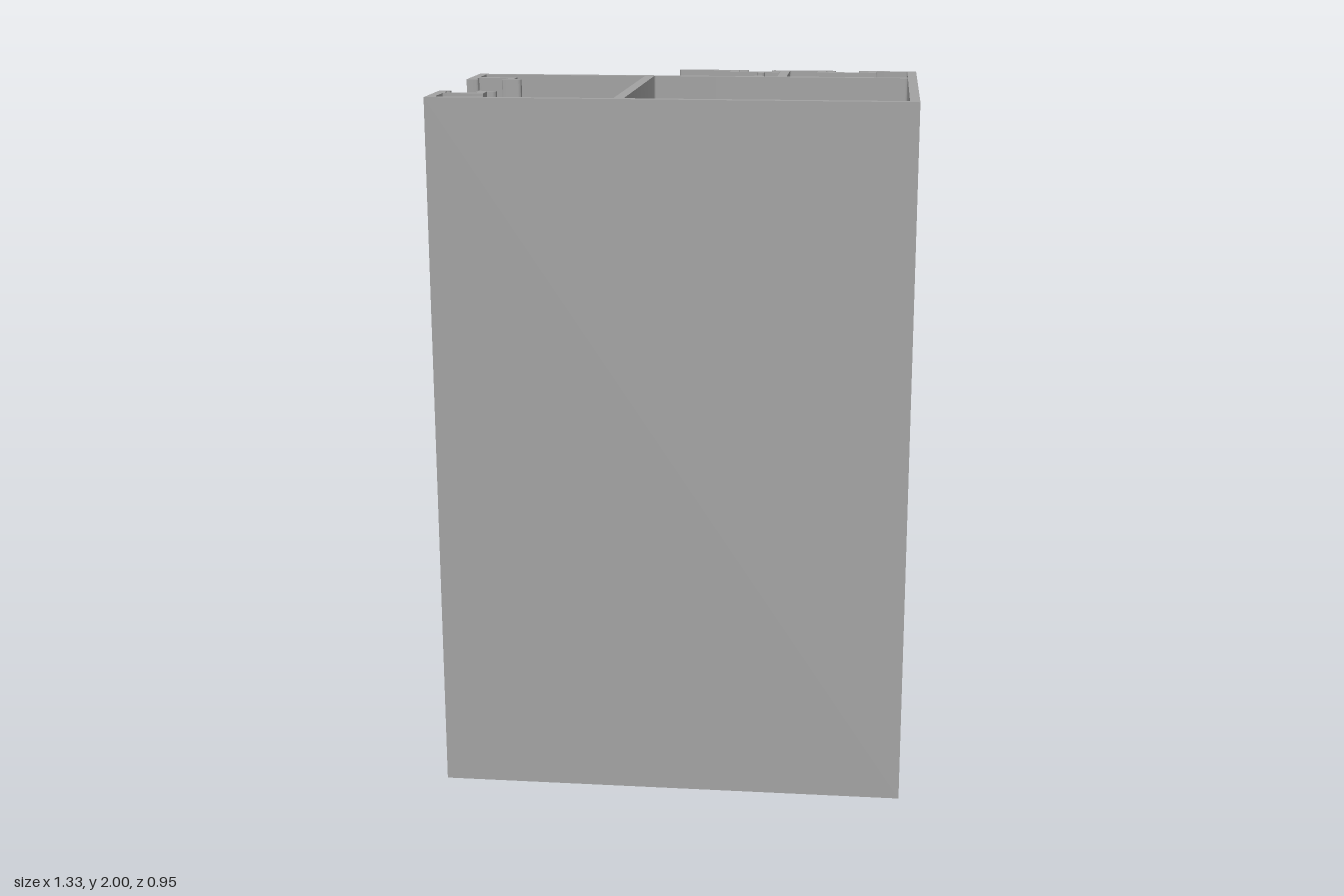
import * as THREE from 'three';
import { toCreasedNormals } from 'three/addons/utils/BufferGeometryUtils.js';

const HEIGHT = 2;

// Trace a closed polygon of [x, z, radius?] points, rounding corners that have a radius.
function trace(path, points) {
  const n = points.length;
  points.forEach(([x, z, r = 0], i) => {
    const corner = new THREE.Vector2(x, z);
    const toward = (p) => new THREE.Vector2(p[0] - x, p[1] - z).setLength(r).add(corner);
    const a = r ? toward(points[(i + n - 1) % n]) : corner;
    if (i === 0) path.moveTo(a.x, a.y);
    else path.lineTo(a.x, a.y);
    if (r) {
      const b = toward(points[(i + 1) % n]);
      path.quadraticCurveTo(x, z, b.x, b.y);
    }
  });
  path.closePath();
  return path;
}

export function createModel() {
  const group = new THREE.Group();
  group.name = 'extrudedFrameProfile';
  const aluminium = new THREE.MeshStandardMaterial({ color: 0xa3a3a3 });
  aluminium.name = 'aluminium grey';

  const R = 0.01; // rounded lip ends
  const F = 0.006; // small inner fillets

  // Gasket groove on the open side, from the outer corner to the inner web
  const frontClip = [
    [-0.665, 0.475],
    [-0.665, 0.282], [-0.63, 0.282, R], [-0.63, 0.304, R], [-0.64, 0.304],
    [-0.64, 0.337, F], [-0.55, 0.337, F], [-0.55, 0.304],
    [-0.56, 0.304, R], [-0.56, 0.282, R], [-0.502, 0.282, R], [-0.502, 0.304, R],
    [-0.527, 0.304], [-0.527, 0.359], [-0.64, 0.359, F],
    [-0.64, 0.449, F], [-0.153, 0.449, F],
  ];
  // Same groove mirrored onto the back wall
  const backClip = frontClip.map(([x, z, r]) => [x, 0.217 - z, r]).reverse();

  // Back wall with the small guide ribs, then the lipped channels
  const backChannels = [
    [0.176, -0.258], [0.176, -0.282, R], [0.2, -0.282, R], [0.2, -0.258],
    [0.246, -0.258, F], [0.246, -0.401, F],
    [0.2, -0.401], [0.2, -0.378, R], [0.176, -0.378, R], [0.176, -0.401],
    [0.091, -0.401], [0.091, -0.455],
    [-0.071, -0.455, R], [-0.071, -0.475, R], [0.146, -0.475, R], [0.146, -0.455, R],
    [0.116, -0.455], [0.116, -0.424, F], [0.246, -0.424, F], [0.246, -0.455],
    [0.217, -0.455, R], [0.217, -0.475, R], [0.417, -0.475, R], [0.417, -0.455, R],
    [0.387, -0.455], [0.387, -0.424, F], [0.517, -0.424, F], [0.517, -0.455],
    [0.488, -0.455, R], [0.488, -0.475, R], [0.664, -0.475], [0.664, 0.475],
  ];

  const section = trace(new THREE.Shape(), [...frontClip, ...backClip, ...backChannels]);

  // Main hollow chamber
  section.holes.push(trace(new THREE.Path(), [
    [-0.125, -0.232, R], [0.637, -0.232, R], [0.637, 0.447, R], [-0.125, 0.447, R],
  ]));
  // Small hollow chamber behind the channel
  section.holes.push(trace(new THREE.Path(), [
    [0.274, -0.258, F], [0.274, -0.455, F], [0.36, -0.455, F], [0.36, -0.401],
    [0.542, -0.401], [0.542, -0.455, F], [0.637, -0.455, F], [0.637, -0.258, F],
  ]));

  // Extrude the section and stand it upright
  const geometry = new THREE.ExtrudeGeometry(section, {
    depth: HEIGHT, bevelEnabled: false, curveSegments: 5,
  });
  geometry.rotateX(Math.PI / 2);
  geometry.translate(0, HEIGHT, 0);

  const profile = new THREE.Mesh(toCreasedNormals(geometry, 0.6), aluminium);
  profile.name = 'hollowProfile';
  group.add(profile);
  return group;
}
